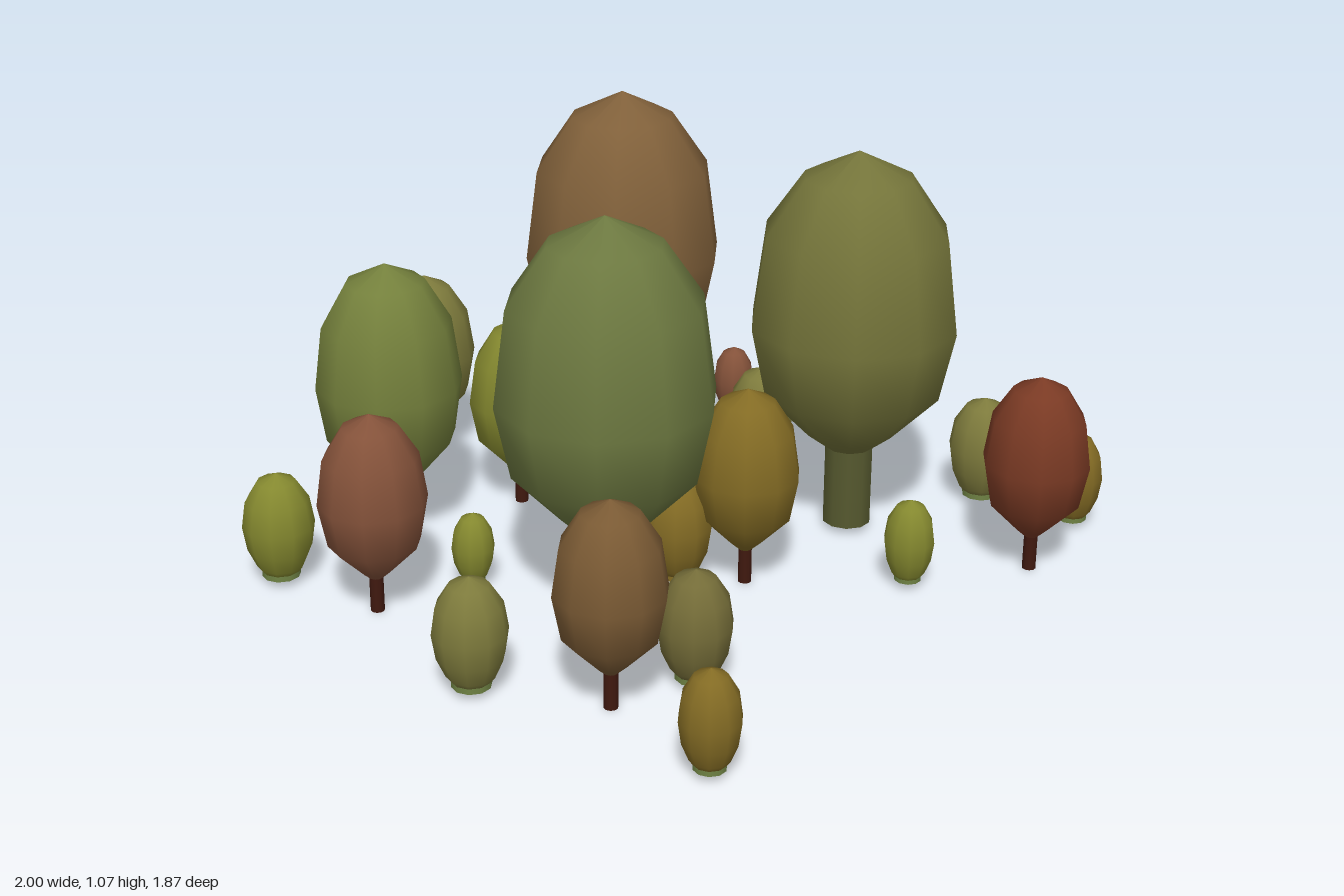
import * as THREE from 'three';

// Crown profiles run from underside to tip as [radius, height]; 10-sided and smooth.
const KINDS = {
  large: {
    crown: [[0.062, 0.24], [0.115, 0.28], [0.24, 0.41], [0.28, 0.6], [0.247, 0.85], [0.145, 1.0], [0, 1.07]],
    trunk: [0.066, 0.02, 0.27],
  },
  medium: {
    crown: [[0.03, 0.15], [0.07, 0.18], [0.172, 0.3], [0.195, 0.45], [0.172, 0.62], [0.105, 0.735], [0, 0.785]],
    trunk: [0.029, 0.02, 0.18],
  },
  small: {
    crown: [[0.018, 0.095], [0.04, 0.115], [0.118, 0.195], [0.14, 0.31], [0.122, 0.43], [0.072, 0.51], [0, 0.545]],
    trunk: [0.018, 0, 0.12],
  },
  bush: {
    crown: [[0.05, 0.035], [0.062, 0.05], [0.084, 0.1], [0.094, 0.165], [0.083, 0.235], [0.05, 0.288], [0, 0.31]],
    trunk: [0.05, 0.02, 0.045],
  },
};

const GREEN = 0x6f8244, OLIVE = 0x7d7a3c, OCHRE = 0x836b24, RUST = 0x84523a, RED = 0x7a3a24, LIME = 0x84882f;
const BARK = 0x40190f, MOSS = 0x56592f;

// kind, x, z, crown colour, trunk colour, scale
const PLANTS = [
  ['large', -0.475, -0.495, 0x80603a, BARK],
  ['large', 0.35, -0.465, 0x74743a, MOSS],
  ['large', 0.18, 0.34, 0x6c7840, BARK],
  ['medium', -0.08, -0.105, OCHRE, BARK],
  ['medium', -0.55, 0.37, 0x74803c, BARK],
  ['small', -0.87, -0.085, OLIVE, BARK],
  ['small', 0.865, -0.57, RED, BARK],
  ['small', -0.435, -0.01, LIME, BARK],
  ['small', 0.335, -0.03, OCHRE, BARK],
  ['small', -0.285, 0.695, RUST, BARK],
  ['small', 0.48, 0.675, 0x7a5a34, BARK],
  ['bush', 0.18, 0.835, OLIVE, GREEN],
  ['bush', -0.59, 0.745, LIME, GREEN],
  ['bush', 0.545, -0.835, OLIVE, GREEN],
  ['bush', -0.06, -0.615, OLIVE, GREEN],
  ['bush', 0.565, 0.465, 0x746c38, GREEN],
  ['bush', -0.59, -0.22, LIME, GREEN],
  ['bush', 0.2, 0.085, OCHRE, OCHRE],
  ['bush', 0.84, 0.755, OCHRE, GREEN, 0.8],
  ['bush', 0.82, -0.865, OCHRE, GREEN, 0.8],
  ['bush', 0.675, -0.28, LIME, GREEN, 0.71],
  ['bush', -0.185, 0.445, LIME, GREEN, 0.6],
  ['bush', -0.34, -0.85, RUST, GREEN, 0.64],
];

const SIDES = 10;
const materials = new Map();
function paint(color) {
  if (!materials.has(color)) materials.set(color, new THREE.MeshStandardMaterial({ color }));
  return materials.get(color);
}

function createPlant([kind, x, z, crownColor, trunkColor, scale = 1]) {
  const { crown, trunk: [radius, bottom, top] } = KINDS[kind];
  const plant = new THREE.Group();
  plant.name = kind === 'bush' ? 'bush' : kind + 'Tree';

  // Egg-shaped foliage
  const points = crown.map(([r, y]) => new THREE.Vector2(r, y));
  const foliage = new THREE.Mesh(new THREE.LatheGeometry(points, SIDES), paint(crownColor));
  foliage.name = 'crown';

  // Straight stem reaching into the foliage
  const stem = new THREE.CylinderGeometry(radius, radius, top - bottom, SIDES);
  stem.translate(0, (top + bottom) / 2, 0);
  const trunk = new THREE.Mesh(stem, paint(trunkColor));
  trunk.name = 'trunk';

  plant.add(foliage, trunk);
  // Smaller bushes stay a little taller for their width and keep their base on the same level
  const tall = scale < 1 ? Math.min(1, scale * 1.1) : 1;
  plant.scale.set(scale, tall, scale);
  plant.position.set(x, bottom * (1 - tall), z);
  return plant;
}

export function createModel() {
  const grove = new THREE.Group();
  grove.name = 'grove';
  for (const spec of PLANTS) grove.add(createPlant(spec));
  return grove;
}
